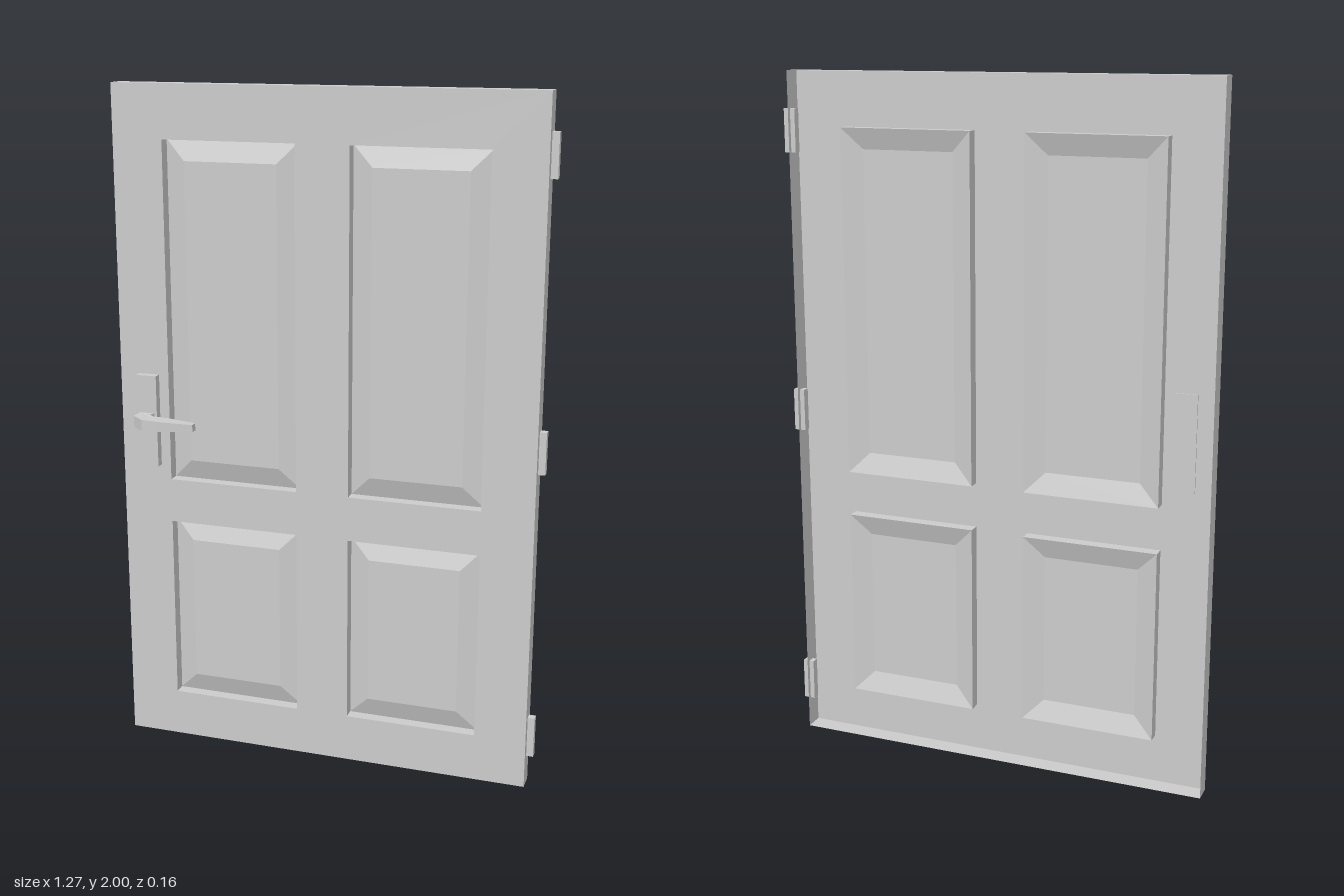
import * as THREE from 'three';

const material = new THREE.MeshStandardMaterial({ color: 0xcccccc, side: THREE.DoubleSide, flatShading: true });

const BACK = -0.079, FRONT = -0.023;
const LEAF = [-0.638, 0.616, 0, 2];
const COLUMNS = [[-0.486, -0.089], [0.07, 0.463]];
const ROWS = [[0.143, 0.707], [0.84, 1.845]];

// corners of [x0, x1, y0, y1], counter-clockwise from the front, shrunk by inset
function corners([x0, x1, y0, y1], z, inset = 0) {
  const a = x0 + inset, b = x1 - inset, c = y0 + inset, d = y1 - inset;
  return [[a, c, z], [b, c, z], [b, d, z], [a, d, z]];
}

// sheet through successive rectangular loops, optionally closed at the last one
function loft(loops, cap) {
  const pos = [];
  const quad = (a, b, c, d) => pos.push(...a, ...b, ...c, ...a, ...c, ...d);
  for (let k = 0; k < loops.length - 1; k++) {
    const a = loops[k], b = loops[k + 1];
    for (let i = 0; i < 4; i++) {
      const j = (i + 1) % 4;
      quad(a[i], a[j], b[j], b[i]);
    }
  }
  if (cap) quad(...loops[loops.length - 1]);
  const g = new THREE.BufferGeometry();
  g.setAttribute('position', new THREE.Float32BufferAttribute(pos, 3));
  g.computeVertexNormals();
  return g;
}

function outline(rect, PathType) {
  return new PathType(corners(rect, 0).map(([x, y]) => new THREE.Vector2(x, y)));
}

export function createModel() {
  const door = new THREE.Group();
  door.name = 'door';
  const add = (name, geometry, parent = door) => {
    const mesh = new THREE.Mesh(geometry, material);
    mesh.name = name;
    parent.add(mesh);
    return mesh;
  };

  // hollow leaf: four edges and a front sheet with panel openings
  add('leafEdges', loft([corners(LEAF, BACK), corners(LEAF, FRONT)], false));
  const face = outline(LEAF, THREE.Shape);

  // pressed panels: a step back, then a bevel up to the raised field
  for (const [x0, x1] of COLUMNS) {
    for (const [y0, y1] of ROWS) {
      const rect = [x0, x1, y0, y1];
      face.holes.push(outline(rect, THREE.Path));
      add('panel', loft([
        corners(rect, FRONT),
        corners(rect, FRONT - 0.036),
        corners(rect, FRONT - 0.016, 0.06),
      ], true));
    }
  }
  add('leafFace', new THREE.ShapeGeometry(face)).position.z = FRONT;

  // hinges, set through the edge of the leaf
  for (const y of [0.152, 1.018, 1.833]) {
    add('hinge', new THREE.BoxGeometry(0.034, 0.123, 0.022)).position.set(0.619, y, -0.056);
  }

  // handle: back plate and bent lever
  const handle = new THREE.Group();
  handle.name = 'handle';
  door.add(handle);
  add('handlePlate', new THREE.BoxGeometry(0.063, 0.277, 0.028), handle).position.set(-0.5475, 1.0225, -0.013);

  const profile = [
    [-0.57, -0.002], [-0.523, -0.002], [-0.53, 0.02], [-0.515, 0.03], [-0.46, 0.03],
    [-0.376, 0.042], [-0.376, 0.064], [-0.48, 0.079], [-0.53, 0.079], [-0.57, 0.045],
  ];
  const thickness = 0.034;
  const lever = new THREE.ExtrudeGeometry(
    new THREE.Shape(profile.map(([x, z]) => new THREE.Vector2(x, z))),
    { depth: thickness, bevelEnabled: false },
  );
  lever.translate(0, 0, -thickness / 2).rotateX(Math.PI / 2);
  // lever thins towards its tip
  const p = lever.attributes.position;
  for (let i = 0; i < p.count; i++) {
    const t = THREE.MathUtils.clamp((p.getX(i) + 0.53) / 0.154, 0, 1);
    p.setY(i, p.getY(i) * (1 - 0.38 * t));
  }
  lever.computeVertexNormals();
  add('lever', lever, handle).position.y = 1.031;

  return door;
}
